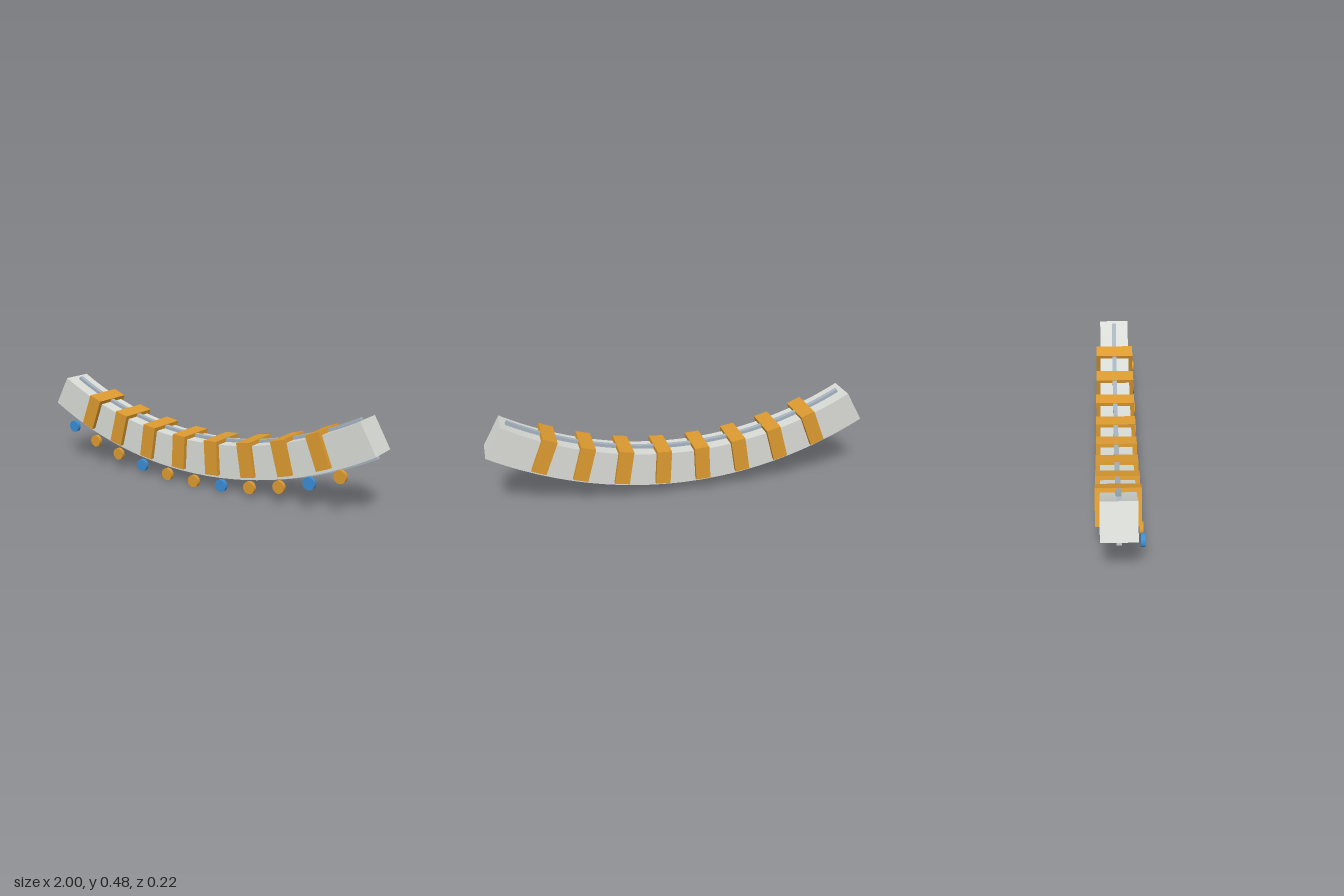
import * as THREE from 'three';
import { toCreasedNormals } from 'three/addons/utils/BufferGeometryUtils.js';

const CENTRE_Y = 2.12; // centre of curvature of the whole bow
const MID_Z = -0.0055; // middle of the beam's depth
const deg = THREE.MathUtils.degToRad;

function material(name, color) {
  const m = new THREE.MeshStandardMaterial({ color });
  m.name = name;
  return m;
}

// Curved bar: a ring sector hanging below the centre of curvature
function arcBar(name, inner, outer, halfAngle, depth, mat) {
  const a = -Math.PI / 2 - deg(halfAngle);
  const b = -Math.PI / 2 + deg(halfAngle);
  const shape = new THREE.Shape();
  shape.absarc(0, 0, outer, a, b, false);
  shape.absarc(0, 0, inner, b, a, true);
  const geo = new THREE.ExtrudeGeometry(shape, { depth, bevelEnabled: false, curveSegments: 48 });
  geo.translate(0, 0, -depth / 2);
  const mesh = new THREE.Mesh(toCreasedNormals(geo, deg(25)), mat);
  mesh.name = name;
  mesh.position.set(0, CENTRE_Y, MID_Z);
  return mesh;
}

export function createModel() {
  const model = new THREE.Group();
  model.name = 'curvedBeam';
  const stone = material('pale grey', 0xd9dbd6);
  const steel = material('blue grey', 0xa7b4c0);
  const amber = material('amber', 0xdc9a30);
  const blue = material('blue', 0x3a8dd4);

  // Main beam with a thin rail along its top and underside
  model.add(
    arcBar('beam', 1.878, 2.055, 29.1, 0.165, stone),
    arcBar('topRail', 1.861, 1.879, 28.2, 0.024, steel),
    arcBar('bottomRail', 2.054, 2.072, 28.2, 0.024, steel)
  );

  // Clamps: a plate over the top and a cheek down each side, open below
  const width = 0.077, top = 1.857, bottom = 2.038, cheek = 0.0235;
  const plateGeo = new THREE.BoxGeometry(width, 0.022, 0.212);
  const cheekGeo = new THREE.BoxGeometry(width, bottom - top - 0.022, cheek);
  for (let i = 0; i < 8; i++) {
    const clamp = new THREE.Group();
    clamp.name = `clamp${i + 1}`;
    clamp.position.set(0, CENTRE_Y, MID_Z);
    clamp.rotation.z = deg((i - 3.5) * 6.14);
    const plate = new THREE.Mesh(plateGeo, amber);
    plate.name = 'clampTop';
    plate.position.y = -top - 0.011;
    clamp.add(plate);
    for (const side of [1, -1]) {
      const mesh = new THREE.Mesh(cheekGeo, amber);
      mesh.name = side > 0 ? 'frontCheek' : 'backCheek';
      mesh.position.set(0, -(top + 0.022 + bottom) / 2, side * (0.106 - cheek / 2));
      clamp.add(mesh);
    }
    model.add(clamp);
  }

  // Row of small discs following the curve under the front edge
  const discGeo = new THREE.CylinderGeometry(0.0325, 0.0325, 0.02, 24).rotateX(Math.PI / 2);
  for (let i = 0; i < 11; i++) {
    const angle = deg((i - 5) * 4.75);
    const disc = new THREE.Mesh(discGeo, i % 3 === 0 ? blue : amber);
    disc.name = `disc${i + 1}`;
    disc.position.set(2.0865 * Math.sin(angle), CENTRE_Y - 2.0865 * Math.cos(angle), 0.103);
    model.add(disc);
  }
  return model;
}
